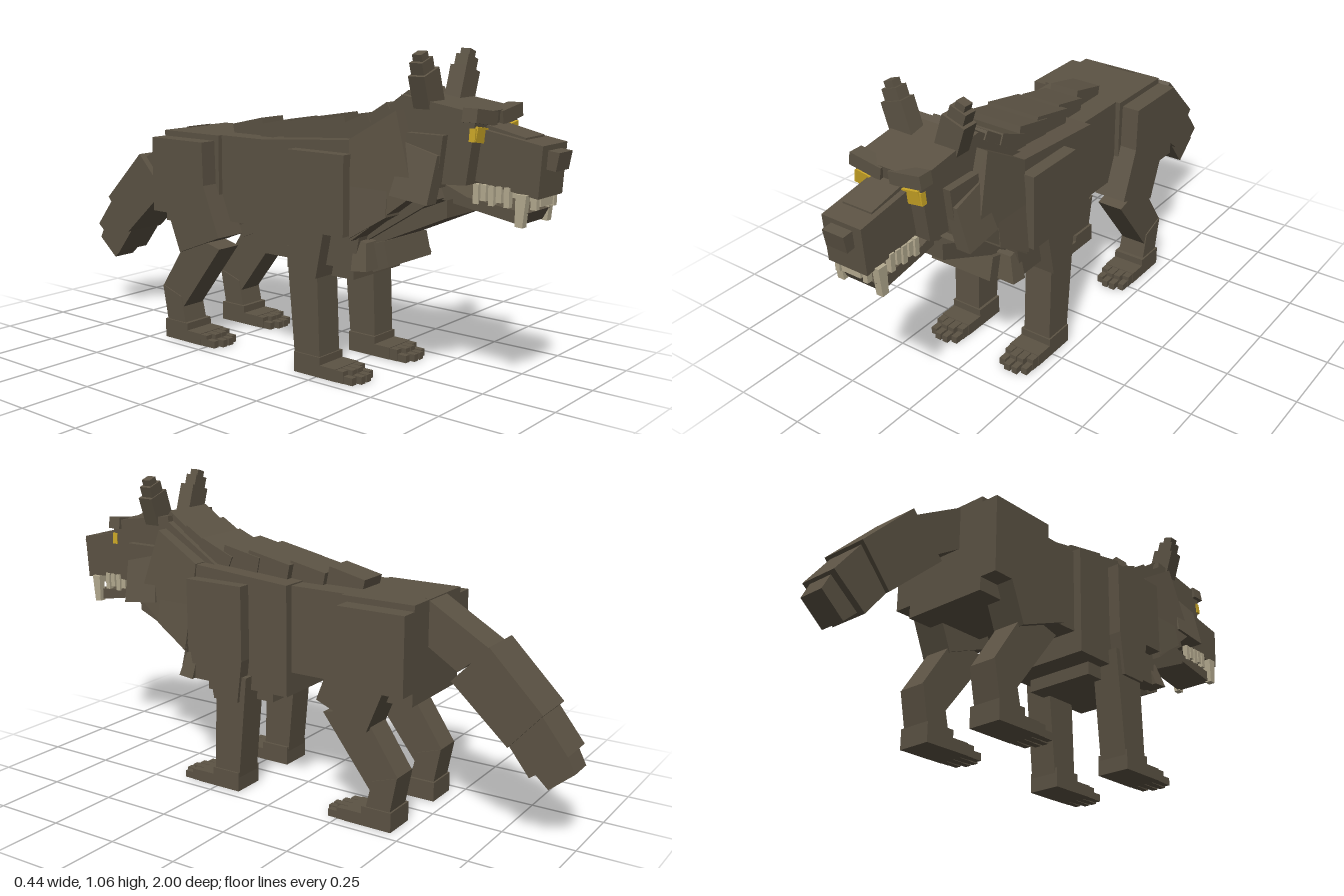
import * as THREE from 'three';

export function createModel() {
  const wolf = new THREE.Group();
  wolf.name = 'wolf';
  const mat = (name, color) => Object.assign(new THREE.MeshStandardMaterial({ color }), { name });
  const fur = mat('darkFur', 0x5c5344);
  const ivory = mat('ivory', 0xb5ab90);
  const amber = mat('amber', 0xc9a526);

  // Side outline [z, y] extruded from x0 to x1; lean shifts x with height around leanY
  function slab(name, pts, x0, x1, m = fur, lean = 0, leanY = 0) {
    const lo = Math.min(x0, x1), hi = Math.max(x0, x1);
    const shape = new THREE.Shape(pts.map(([z, y]) => new THREE.Vector2(z, y)));
    const g = new THREE.ExtrudeGeometry(shape, { depth: hi - lo, bevelEnabled: false });
    g.rotateY(-Math.PI / 2).translate(hi, 0, 0);
    if (lean) {
      const p = g.attributes.position;
      for (let i = 0; i < p.count; i++) p.setX(i, p.getX(i) + lean * (p.getY(i) - leanY));
      g.computeVertexNormals();
    }
    const mesh = new THREE.Mesh(g, m);
    mesh.name = name;
    wolf.add(mesh);
    return mesh;
  }
  const centred = (name, pts, half, m) => slab(name, pts, -half, half, m);
  const rect = (z0, z1, y0, y1) => [[z0, y0], [z1, y0], [z1, y1], [z0, y1]];

  function box(name, w, h, d, x, y, z, rx = 0, ry = 0, rz = 0, m = fur) {
    const mesh = new THREE.Mesh(new THREE.BoxGeometry(w, h, d), m);
    mesh.name = name;
    mesh.position.set(x, y, z);
    mesh.rotation.set(rx, ry, rz);
    wolf.add(mesh);
    return mesh;
  }

  // Body
  centred('chest', [[-0.025, 0.37], [0.37, 0.37], [0.39, 0.48], [0.38, 0.785], [-0.025, 0.755]], 0.17);
  centred('breastbone', rect(0.06, 0.34, 0.325, 0.38), 0.13);
  centred('waist', rect(-0.3, 0, 0.45, 0.75), 0.14);
  centred('hips', rect(-0.495, -0.23, 0.42, 0.75), 0.157);

  // Neck and throat
  centred('neck', [[0.51, 0.91], [0.29, 0.77], [0.37, 0.45], [0.64, 0.62]], 0.125);
  centred('throatFur', [[0.67, 0.62], [0.67, 0.565], [0.4, 0.445], [0.38, 0.5]], 0.105);
  centred('chestTuft', [[0.45, 0.465], [0.37, 0.445], [0.41, 0.36], [0.47, 0.385]], 0.12);

  // Overlapping hackles down the spine
  const hackles = [
    [0.49, 0.88, 0.12, 0.1, 0.6], [0.40, 0.835, 0.14, 0.105, 0.55],
    [0.32, 0.805, 0.14, 0.11, 0.4], [0.21, 0.80, 0.15, 0.105, 0.2],
    [0.10, 0.79, 0.17, 0.1, 0.2], [-0.04, 0.77, 0.14, 0.075, 0.2],
    [-0.18, 0.762, 0.14, 0.055, 0.22],
  ];
  hackles.forEach(([z, y, len, half, tilt]) =>
    box('hackle', half * 2, 0.07, len, 0, y, z, -tilt));

  // Head
  centred('skull', [[0.775, 0.89], [0.51, 0.93], [0.49, 0.66], [0.745, 0.675]], 0.125);
  centred('muzzle', [[0.965, 0.805], [0.70, 0.85], [0.70, 0.69], [0.955, 0.65]], 0.074);
  centred('muzzleBridge', [[0.90, 0.822], [0.72, 0.862], [0.72, 0.80], [0.90, 0.80]], 0.055);
  centred('nose', [[1, 0.785], [0.955, 0.79], [0.955, 0.735], [0.99, 0.73]], 0.04);
  centred('lowerJaw', [[0.9, 0.568], [0.92, 0.605], [0.72, 0.63], [0.57, 0.69], [0.53, 0.63]], 0.072);
  centred('upperIncisors', rect(0.93, 0.945, 0.622, 0.655), 0.036, ivory);

  // Tail
  centred('tailBase', [[-0.48, 0.755], [-0.48, 0.605], [-0.6, 0.53], [-0.71, 0.62]], 0.06);
  centred('tailBrush', [[-0.715, 0.635], [-0.9, 0.45], [-0.79, 0.325], [-0.59, 0.505]], 0.085);
  centred('tailEnd', [[-0.87, 0.47], [-0.98, 0.33], [-0.86, 0.235], [-0.77, 0.35]], 0.07);
  centred('tailTip', [[-0.96, 0.345], [-0.998, 0.27], [-0.915, 0.2], [-0.855, 0.255]], 0.046);

  // Paw with stepped top, four toes and claws
  function paw(s, back) {
    slab('paw', [[back, 0], [back + 0.175, 0], [back + 0.175, 0.042], [back + 0.11, 0.042],
      [back + 0.11, 0.068], [back, 0.068]], s * 0.09, s * 0.21);
    for (let i = 0; i < 4; i++) {
      const x = s * (0.105 + i * 0.03);
      const reach = i === 1 || i === 2 ? 0 : -0.015;
      box('toe', 0.026, 0.04, 0.08, x, 0.02, back + 0.18 + reach);
      box('toeTip', 0.022, 0.025, 0.06, x, 0.0125, back + 0.225 + reach);
    }
  }

  for (const s of [1, -1]) {
    // Front leg
    slab('shoulder', [[0.36, 0.74], [0.13, 0.74], [0.13, 0.48], [0.15, 0.33], [0.25, 0.33],
      [0.28, 0.48], [0.36, 0.48]], s * 0.1, s * 0.215);
    slab('foreleg', [[0.245, 0.42], [0.12, 0.42], [0.155, 0.05], [0.26, 0.05]], s * 0.1, s * 0.204);
    paw(s, 0.155);

    // Hind leg
    slab('thigh', [[-0.25, 0.73], [-0.495, 0.73], [-0.495, 0.465], [-0.42, 0.465], [-0.365, 0.33],
      [-0.175, 0.405], [-0.245, 0.58]], s * 0.1, s * 0.22);
    slab('hindShin', [[-0.19, 0.36], [-0.335, 0.395], [-0.472, 0.19], [-0.375, 0.12]], s * 0.105, s * 0.2);
    slab('hock', [[-0.472, 0.19], [-0.445, 0.05], [-0.355, 0.05], [-0.38, 0.16]], s * 0.1, s * 0.204);
    paw(s, -0.455);

    // Mane on the sides of the neck
    slab('maneSide', [[0.52, 0.885], [0.35, 0.785], [0.38, 0.47], [0.6, 0.635]],
      s * 0.09, s * 0.18, fur, -s * 0.09, 0.72);
    slab('maneTuft', [[0.5, 0.74], [0.36, 0.70], [0.38, 0.48], [0.51, 0.56]],
      s * 0.12, s * 0.19, fur, -s * 0.14, 0.62);
    slab('chestSideTuft', [[0.41, 0.46], [0.36, 0.47], [0.37, 0.37], [0.43, 0.375]],
      s * 0.09, s * 0.165, fur, -s * 0.3, 0.44);

    // Cheeks and jowl fur
    slab('cheek', [[0.68, 0.82], [0.55, 0.82], [0.53, 0.64], [0.66, 0.66]], s * 0.1, s * 0.152);
    slab('cheekTuft', [[0.67, 0.76], [0.55, 0.79], [0.52, 0.63], [0.66, 0.615]],
      s * 0.13, s * 0.18, fur, -s * 0.25, 0.7);

    // Brow and eye
    box('brow', 0.12, 0.042, 0.05, s * 0.075, 0.875, 0.758, 0, 0, s * 0.15);
    box('eye', 0.066, 0.046, 0.009, s * 0.088, 0.823, 0.771, 0.1, 0, s * 0.16, amber);
    box('eyeCorner', 0.009, 0.04, 0.02, s * 0.123, 0.825, 0.764, 0, 0, s * 0.1, amber);

    // Ear in three shrinking steps, leaning outward
    box('earBase', 0.085, 0.11, 0.058, s * 0.1, 0.95, 0.585, 0, 0, -s * 0.32);
    box('earMiddle', 0.06, 0.07, 0.046, s * 0.119, 1.005, 0.583, 0, 0, -s * 0.32);
    box('earTip', 0.035, 0.05, 0.034, s * 0.129, 1.035, 0.583, 0, 0, -s * 0.32);

    // Teeth
    slab('upperFang', [[0.925, 0.66], [0.89, 0.66], [0.89, 0.565], [0.915, 0.563]],
      s * 0.063, s * 0.088, ivory);
    slab('frontTooth', rect(0.925, 0.945, 0.615, 0.66), s * 0.045, s * 0.062, ivory);
    for (let i = 0; i < 5; i++) {
      const z = 0.865 - i * 0.026;
      slab('sideTooth', rect(z - 0.018, z, 0.615 + (i % 2) * 0.012, 0.675), s * 0.06, s * 0.08, ivory);
    }
  }
  return wolf;
}
